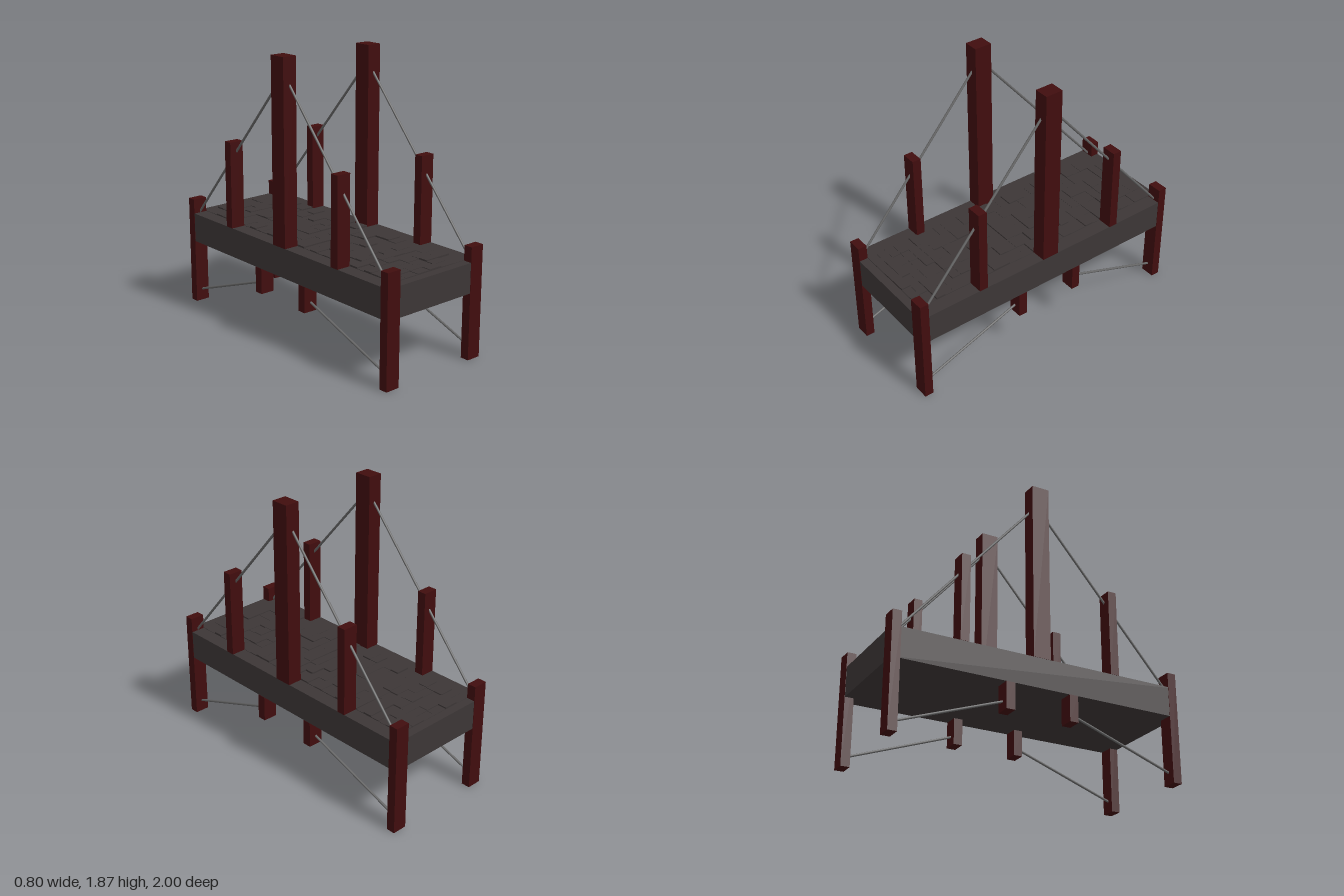
import * as THREE from 'three';

export function createModel() {
  const model = new THREE.Group();
  const wood = new THREE.MeshStandardMaterial({ color: 0x400d0e });
  wood.name = 'dark red timber';
  const stone = new THREE.MeshStandardMaterial({ color: 0x3c3636 });
  stone.name = 'dark grey stone';
  const steel = new THREE.MeshStandardMaterial({ color: 0x646464 });
  steel.name = 'grey cable';

  // Box given by its lower and upper corners
  function box(name, material, x0, x1, y0, y1, z0, z1) {
    const mesh = new THREE.Mesh(new THREE.BoxGeometry(x1 - x0, y1 - y0, z1 - z0), material);
    mesh.position.set((x0 + x1) / 2, (y0 + y1) / 2, (z0 + z1) / 2);
    mesh.name = name;
    model.add(mesh);
  }

  // Straight round cable between two points
  function cable(name, a, b) {
    const dir = b.clone().sub(a);
    const mesh = new THREE.Mesh(new THREE.CylinderGeometry(0.008, 0.008, dir.length(), 12), steel);
    mesh.position.copy(a).add(b).multiplyScalar(0.5);
    mesh.quaternion.setFromUnitVectors(new THREE.Vector3(0, 1, 0), dir.normalize());
    mesh.name = name;
    model.add(mesh);
  }

  // Deck, inset a hair so the corner posts show at its ends
  const deckTop = 0.645, deckBottom = 0.445;
  box('deck', stone, -0.398, 0.398, deckBottom, deckTop, -0.998, 0.998);

  // Uneven paving between the posts
  let seed = 7;
  const random = () => (seed = (seed * 16807) % 2147483647) / 2147483647;
  const rows = 30, rowDepth = 1.88 / rows;
  for (let row = 0; row < rows; row++) {
    for (let col = 0; col < 6; col++) {
      const x = -0.3 + col * 0.1, z = -0.94 + row * rowDepth;
      const rise = 0.002 + 0.012 * random() ** 2;
      box('pavingStone', stone, x, x + 0.1, deckTop - 0.01, deckTop + rise, z, z + rowDepth);
    }
  }

  for (const side of [-1, 1]) {
    const x0 = side * 0.35 - 0.05, x1 = side * 0.35 + 0.05, xc = side * 0.347;
    box('tower', wood, x0, x1, deckTop, 1.865, -0.06, 0.06);
    for (const end of [-1, 1]) {
      const post = (name, y0, y1, z) =>
        box(name, wood, x0, x1, y0, y1, end * z - 0.03, end * z + 0.03);
      post('cornerPost', 0, 0.745, 0.97);
      post('middlePost', deckTop, 1.23, 0.53);
      post('hangingPost', 0.27, deckBottom, 0.22);
      // Cables from tower to corner post, and from corner foot to hanging post
      cable('upperCable', new THREE.Vector3(xc, 1.715, end * 0.03), new THREE.Vector3(xc, 0.635, end * 0.96));
      cable('lowerCable', new THREE.Vector3(xc, 0.07, end * 0.97), new THREE.Vector3(xc, 0.34, end * 0.22));
    }
  }
  return model;
}
